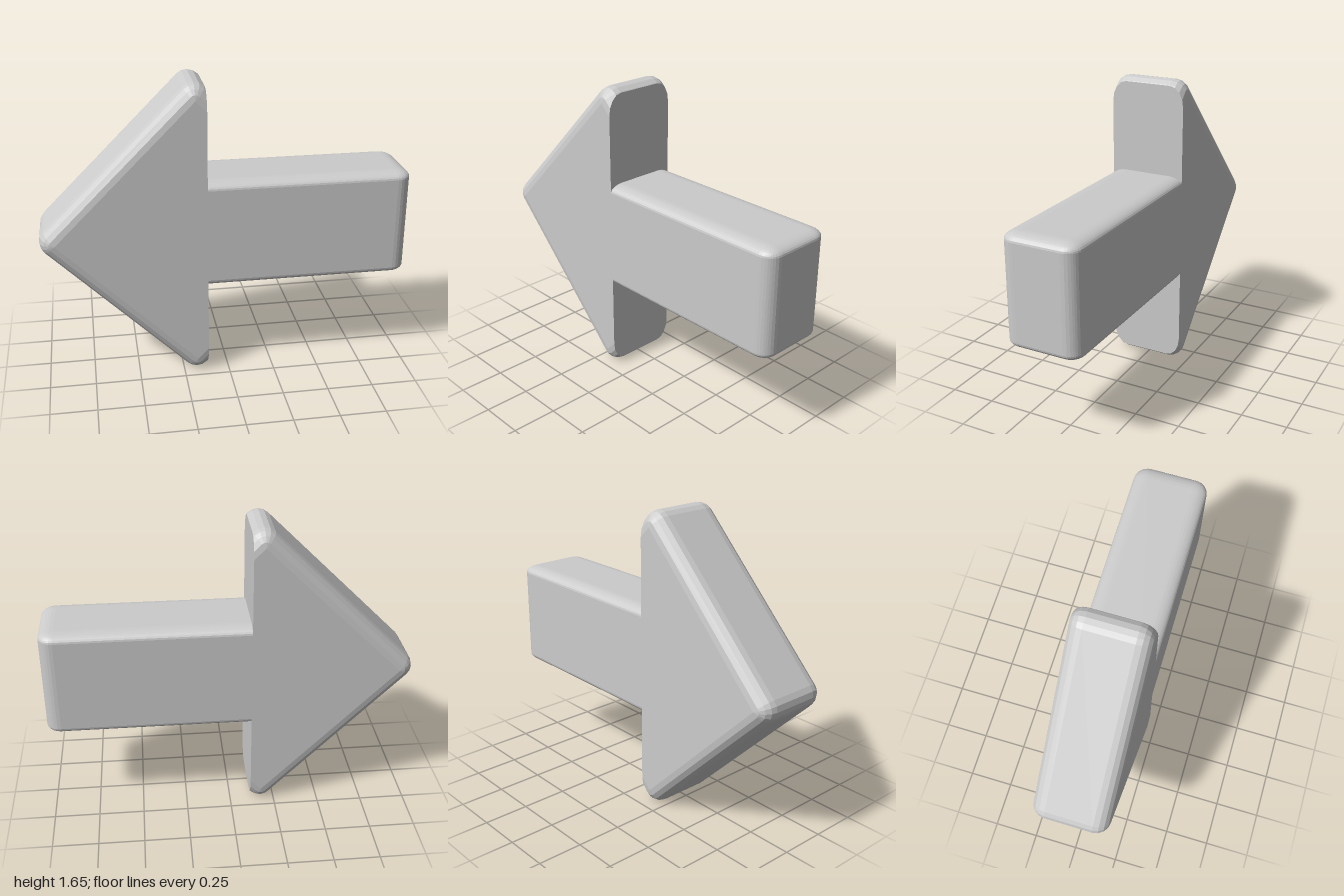
import * as THREE from 'three';
import { RoundedBoxGeometry } from 'three/addons/geometries/RoundedBoxGeometry.js';

const CUT = -0.115;   // plane where head meets shaft
const MID = 0.83;     // height of the arrow's axis
const HALF = 0.21;    // half thickness
const R = 0.08;       // edge rounding
const STEPS = 4;      // facets per rounded edge

// Outline of a rounded diamond, cut off flat at x = CUT
function headOutline(rho) {
  const cx = -0.175, reach = 0.745, pts = [];
  const s = rho * Math.SQRT1_2;
  const endY = reach + s - (CUT - cx - s);
  pts.push([CUT, MID + endY]);
  [[cx, MID + reach], [cx - reach, MID], [cx, MID - reach]].forEach(([x, y], corner) => {
    for (let i = 0; i <= STEPS; i++) {
      const a = Math.PI / 4 + (corner + i / STEPS) * Math.PI / 2;
      pts.push([x + rho * Math.cos(a), y + rho * Math.sin(a)]);
    }
  });
  pts.push([CUT, MID - endY]);
  return pts;
}

// Stack the outlines from back to front, closing both faces to a centre point
function headGeometry() {
  const rows = [];
  const addRow = (pts, z) => rows.push(pts.map(([x, y]) => new THREE.Vector3(x, y, z)));
  const centre = headOutline(0).map(() => [-0.4, MID]);
  addRow(centre, -HALF);
  for (const side of [-1, 1]) {
    for (let i = 0; i <= STEPS; i++) {
      const t = (side < 0 ? STEPS - i : i) / STEPS * Math.PI / 2;
      addRow(headOutline(R * Math.cos(t)), side * (HALF - R + R * Math.sin(t)));
    }
  }
  addRow(centre, HALF);

  const pos = [];
  const tri = (a, b, c) => {
    if (new THREE.Triangle(a, b, c).getArea() > 1e-9) {
      for (const v of [a, b, c]) pos.push(v.x, v.y, v.z);
    }
  };
  for (let k = 0; k < rows.length - 1; k++) {
    const p = rows[k], q = rows[k + 1], n = p.length;
    for (let i = 0; i < n; i++) {
      const j = (i + 1) % n;
      tri(p[i], p[j], q[j]);
      tri(p[i], q[j], q[i]);
    }
  }
  const geo = new THREE.BufferGeometry();
  geo.setAttribute('position', new THREE.Float32BufferAttribute(pos, 3));
  geo.computeVertexNormals();
  return geo;
}

// Rounded bar, softer across the depth than the height, flat where it joins the head
function shaftGeometry() {
  const length = 1 - CUT;
  const geo = new RoundedBoxGeometry(length, 1.2, HALF * 2, STEPS, R);
  const p = geo.attributes.position;
  for (let i = 0; i < p.count; i++) if (p.getX(i) < 0) p.setX(i, -length / 2);
  geo.scale(1, 0.5, 1);
  geo.translate((1 + CUT) / 2, MID, 0);
  geo.computeVertexNormals();
  return geo;
}

export function createModel() {
  const group = new THREE.Group();
  group.name = 'arrow';
  const material = new THREE.MeshStandardMaterial({ color: 0xcccccc, flatShading: true });
  const add = (name, geo) => {
    const mesh = new THREE.Mesh(geo, material);
    mesh.name = name;
    group.add(mesh);
  };
  add('arrowHead', headGeometry());
  add('arrowShaft', shaftGeometry());
  return group;
}
